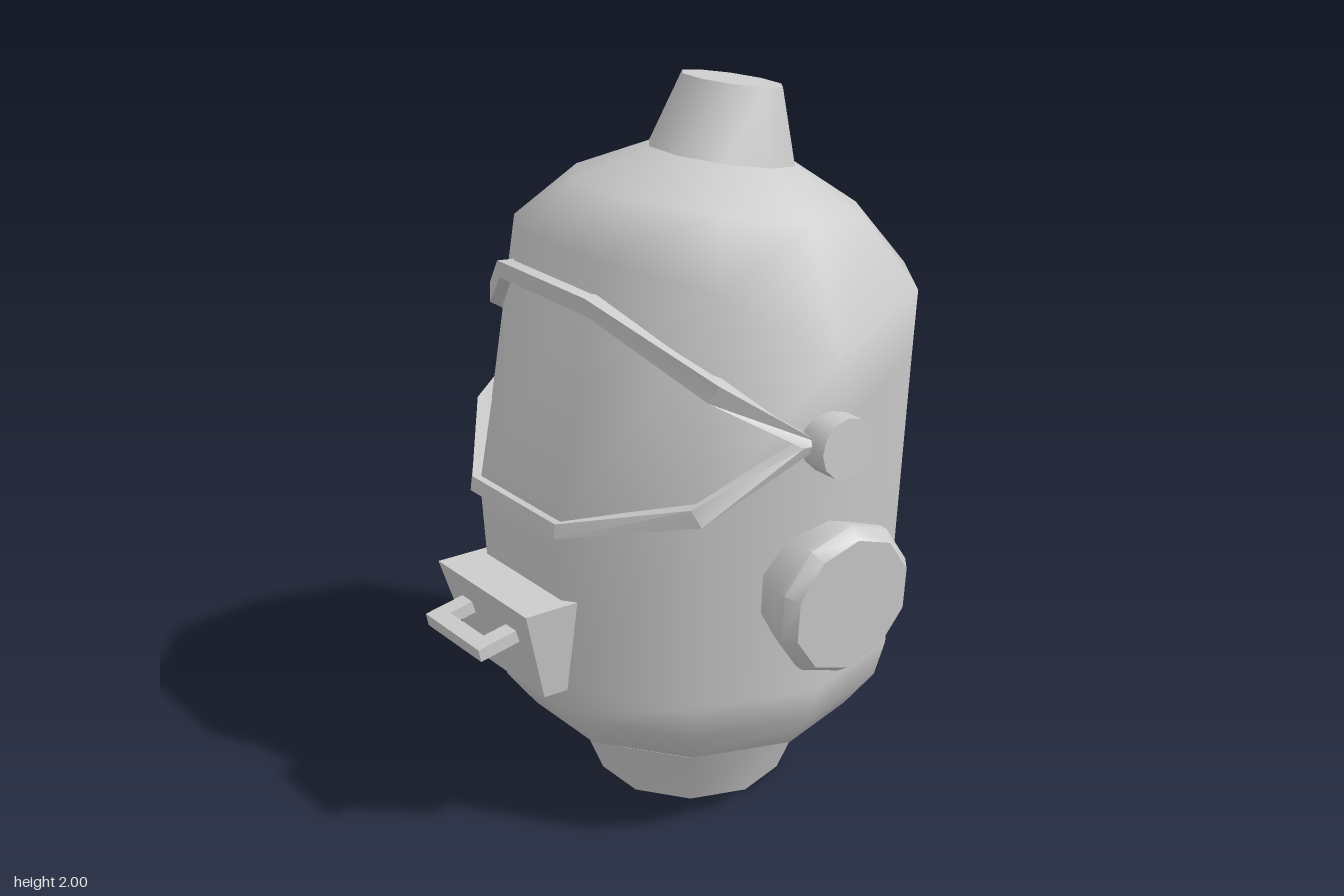
import * as THREE from 'three';
import { toCreasedNormals } from 'three/addons/utils/BufferGeometryUtils.js';

const SIDES = 10;
const material = new THREE.MeshStandardMaterial({ color: 0xcccccc });

function part(name, geometry) {
  const mesh = new THREE.Mesh(geometry, material);
  mesh.name = name;
  return mesh;
}

// Five points on the +x half become a closed ring of ten.
function mirrored(half) {
  return [...half, ...half.map(([x, y, z]) => [-x, y, z]).reverse()];
}

// Regular ten-sided ring with a flat front; tilt raises the front edge.
function ring(r, y, z, tilt = 0) {
  return Array.from({ length: SIDES }, (_, j) => {
    const a = ((j + 0.5) / SIDES) * Math.PI * 2;
    const c = r * Math.cos(a);
    return [r * Math.sin(a), y + c * Math.sin(tilt), z + c * Math.cos(tilt)];
  });
}

// Skin through closed rings of equal length.
function skin(rings) {
  const n = rings[0].length;
  const index = [];
  for (let i = 0; i < rings.length - 1; i++) {
    for (let j = 0; j < n; j++) {
      const k = (j + 1) % n;
      const a = i * n + j, b = i * n + k, c = b + n, d = a + n;
      index.push(a, b, c, a, c, d);
    }
  }
  const g = new THREE.BufferGeometry();
  g.setAttribute('position', new THREE.Float32BufferAttribute(rings.flat(2), 3));
  g.setIndex(index);
  g.computeVertexNormals();
  return g;
}

function shell() {
  // widest ring, dipping towards the front under the window
  const waist = mirrored([
    [0.19, 0.93, 0.475], [0.497, 1.0, 0.25], [0.61, 1.2, -0.11],
    [0.497, 1.3, -0.45], [0.188, 1.3, -0.682],
  ]);
  const brow = mirrored([
    [0.18, 1.62, 0.34], [0.47, 1.57, 0.17], [0.55, 1.53, -0.13],
    [0.5, 1.48, -0.46], [0.19, 1.44, -0.69],
  ]);
  brow[2] = [0.597, 1.39, -0.12]; // one side bulges lower
  return skin([
    ring(0.332, 0.17, -0.095),
    ring(0.458, 0.24, -0.095),
    ring(0.541, 0.345, -0.095),
    ring(0.571, 0.45, -0.093),
    waist,
    brow,
    ring(0.406, 1.685, -0.18, 0.17),
    ring(0.203, 1.785, -0.19, 0.17),
  ]);
}

// Square-section frame round the window: centre points and outward widths.
function windowRim() {
  const centre = [
    [0.2, 1.515, 0.375], [0.51, 1.34, 0.215], [0.605, 1.18, -0.02],
    [0.51, 1.02, 0.265], [0.2, 0.93, 0.48],
  ];
  const width = [
    [0, 0.024, 0], [0.01, 0.024, -0.01], [0, 0, -0.03],
    [0.01, -0.022, -0.01], [0, -0.02, 0],
  ];
  const corner = (w, depth) => mirrored(centre.map((p, i) => {
    const out = new THREE.Vector3(p[0], 0, (p[2] + 0.1) * 1.5).normalize().multiplyScalar(depth);
    return [p[0] + width[i][0] * w + out.x, p[1] + width[i][1] * w, p[2] + width[i][2] * w + out.z];
  }));
  const loops = [corner(1, 0.018), corner(1, -0.05), corner(-1, -0.05), corner(-1, 0.012)];
  return toCreasedNormals(skin([...loops, loops[0]]), 0.5);
}

// Box narrowing downwards, with a raked front.
function mouthBox() {
  const g = new THREE.BoxGeometry(0.44, 0.27, 0.2);
  const p = g.attributes.position;
  for (let i = 0; i < p.count; i++) {
    const low = p.getY(i) < 0;
    if (low) p.setX(i, p.getX(i) * 0.82);
    p.setZ(i, p.getZ(i) < 0 ? 0.38 : low ? 0.52 : 0.597);
  }
  g.translate(0, 0.585, 0);
  g.computeVertexNormals();
  return g;
}

function handle() {
  const s = new THREE.Shape([
    [-0.135, -0.02], [-0.085, -0.02], [-0.085, 0.06], [0.085, 0.06],
    [0.085, -0.02], [0.135, -0.02], [0.135, 0.108], [-0.135, 0.108],
  ].map(([x, y]) => new THREE.Vector2(x, y)));
  const g = new THREE.ExtrudeGeometry(s, { depth: 0.036, bevelEnabled: false });
  return g.rotateX(Math.PI / 2 + 0.2);
}

export function createModel() {
  const model = new THREE.Group();
  model.name = 'helmet';
  model.add(part('shell', shell()), part('windowRim', windowRim()));

  const collar = part('neckCollar', toCreasedNormals(
    new THREE.CylinderGeometry(0.335, 0.265, 0.17, SIDES, 1, false, Math.PI / SIDES), 0.7));
  collar.position.set(0, 0.085, -0.095);

  const cap = part('topCap', toCreasedNormals(
    new THREE.CylinderGeometry(0.14, 0.205, 0.2, SIDES, 1, false, Math.PI / SIDES), 0.7));
  cap.position.set(0, 1.882, -0.208);
  cap.rotation.x = -0.17;

  const grip = part('mouthHandle', handle());
  grip.position.set(0, 0.642, 0.585);
  model.add(collar, cap, part('mouthBox', mouthBox()), grip);

  // Ear discs and window pivots on both sides
  const profile = [[0.17, -0.1], [0.185, -0.06], [0.213, 0.02], [0.213, 0.045], [0.187, 0.08], [0, 0.08]]
    .map(([x, y]) => new THREE.Vector2(x, y));
  const earGeometry = toCreasedNormals(new THREE.LatheGeometry(profile, SIDES, Math.PI / 2), 0.75);
  const pivotGeometry = toCreasedNormals(new THREE.CylinderGeometry(0.083, 0.083, 0.11, 12), 0.7);
  for (const s of [1, -1]) {
    const side = s > 0 ? 'left' : 'right';
    const ear = part(side + 'EarDisc', earGeometry);
    ear.position.set(s * 0.62, 0.755, -0.095);
    ear.rotation.z = -s * (Math.PI / 2 + 0.08);
    const pivot = part(side + 'Pivot', pivotGeometry);
    pivot.position.set(s * 0.61, 1.17, -0.093);
    pivot.rotation.z = -s * Math.PI / 2;
    model.add(ear, pivot);
  }
  return model;
}
